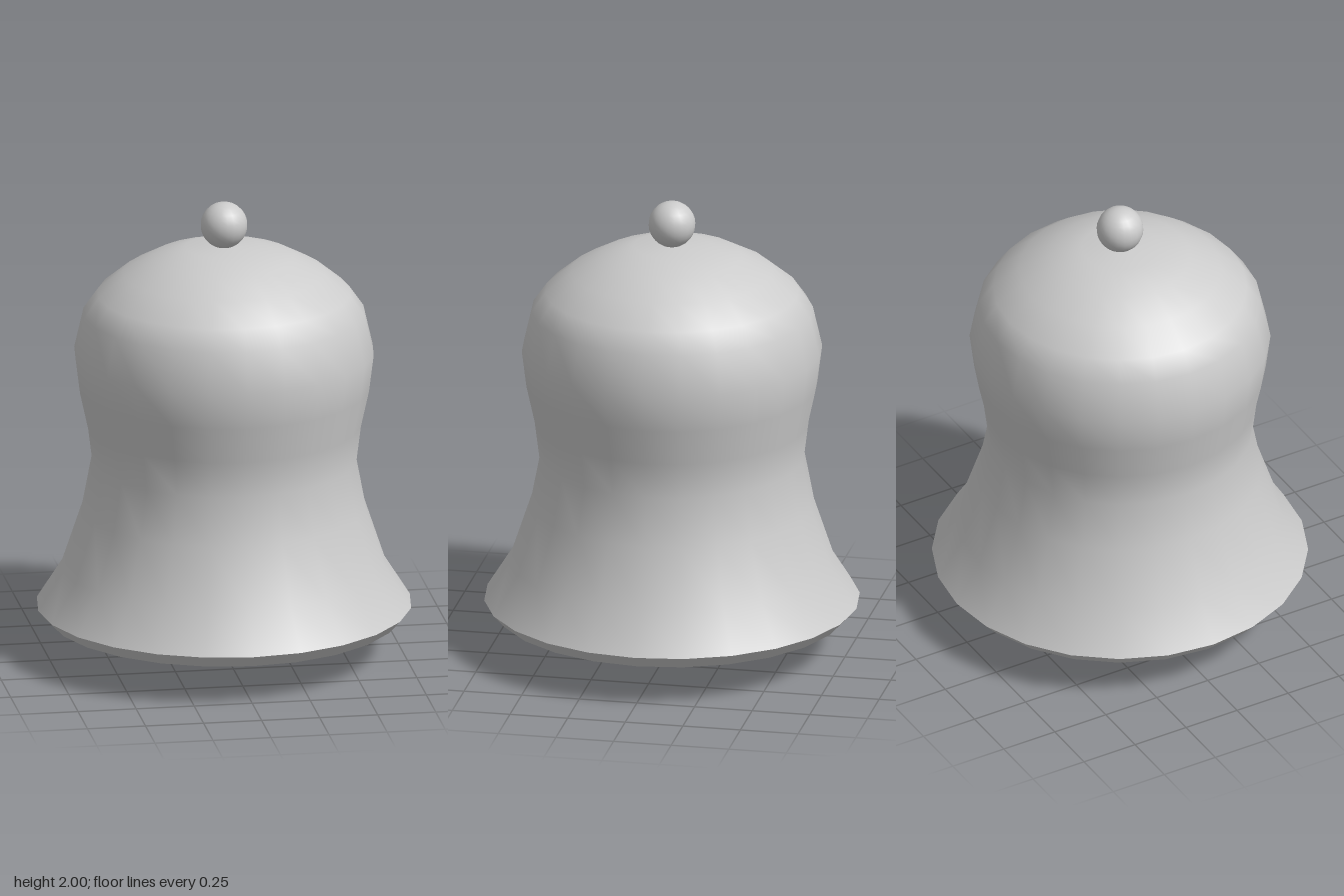
import * as THREE from 'three';

const material = new THREE.MeshStandardMaterial({ color: 0xcccccc });

export function createModel() {
  const bell = new THREE.Group();
  bell.name = 'bell';

  const add = (name, geometry, y = 0) => {
    const mesh = new THREE.Mesh(geometry, material);
    mesh.name = name;
    mesh.position.y = y;
    bell.add(mesh);
  };
  const lathe = (points) =>
    new THREE.LatheGeometry(points.map(([r, y]) => new THREE.Vector2(r, y)), 24);

  // Outer wall, from the flared lip up to the crown
  const outer = [
    [0.8, 0.22], [0.69, 0.395], [0.605, 0.65], [0.565, 0.86], [0.585, 1.02],
    [0.62, 1.18], [0.64, 1.34], [0.6, 1.515], [0.54, 1.6], [0.43, 1.69],
    [0.3, 1.76], [0.165, 1.803], [0, 1.81],
  ];
  add('outerWall', lathe(outer));

  // Bevelled underside of the lip
  add('lip', lathe([[0.75, 0.165], [0.8, 0.22]]));

  // Inner wall, a thin offset of the outer one, running from crown to lip
  const inner = outer.slice(1).map(([r, y]) => [Math.max(0, r - 0.02), y > 1.4 ? y - 0.02 : y]);
  add('innerWall', lathe([[0.75, 0.165], ...inner].reverse()));

  // Knob on top, clapper rod and clapper ball
  add('knob', new THREE.SphereGeometry(0.1, 20, 14), 1.9);
  add('clapperRod', new THREE.CylinderGeometry(0.045, 0.045, 1.68, 16), 0.96);
  add('clapperBall', new THREE.SphereGeometry(0.1, 20, 14), 0.1);

  return bell;
}
